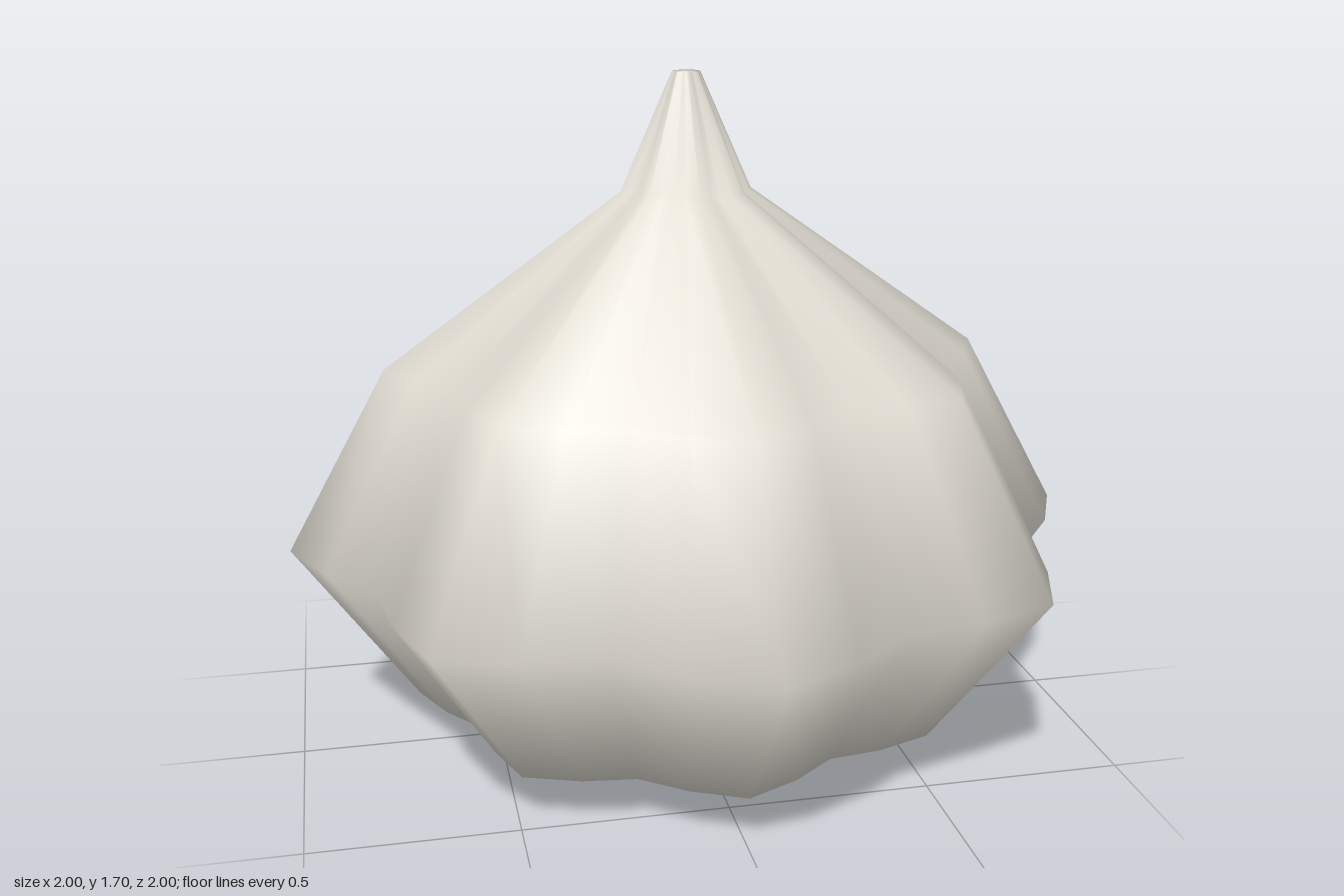
import * as THREE from 'three';
import { mergeVertices } from 'three/addons/utils/BufferGeometryUtils.js';

const LOBES = 8;

// Turned profile whose rings are scalloped into cloves
function scallopedBulb(profile) {
  const lathe = new THREE.LatheGeometry(profile.map(([r, y]) => new THREE.Vector2(r, y)), LOBES * 4);
  const pos = lathe.attributes.position;
  for (let i = 0; i < pos.count; i++) {
    const x = pos.getX(i), z = pos.getZ(i);
    const scale = 0.9325 + 0.0675 * Math.cos(LOBES * Math.atan2(x, z));
    pos.setX(i, x * scale);
    pos.setZ(i, z * scale);
  }
  // Weld the seam and poles so the shading is smooth all round
  lathe.deleteAttribute('normal');
  lathe.deleteAttribute('uv');
  const welded = mergeVertices(lathe);
  welded.computeVertexNormals();
  return welded;
}

export function createModel() {
  const model = new THREE.Group();
  model.name = 'garlicBulb';

  const skin = new THREE.MeshStandardMaterial({ color: 0xdedad0 });
  skin.name = 'papery off-white';

  // Base, belly, shoulder, neck and cut tip
  const bulb = new THREE.Mesh(scallopedBulb([
    [0, 0], [0.23, 0.005], [0.7, 0.135], [1, 0.55],
    [0.75, 1.0], [0.163, 1.415], [0.035, 1.7], [0, 1.7],
  ]), skin);
  bulb.name = 'bulb';
  model.add(bulb);

  return model;
}
